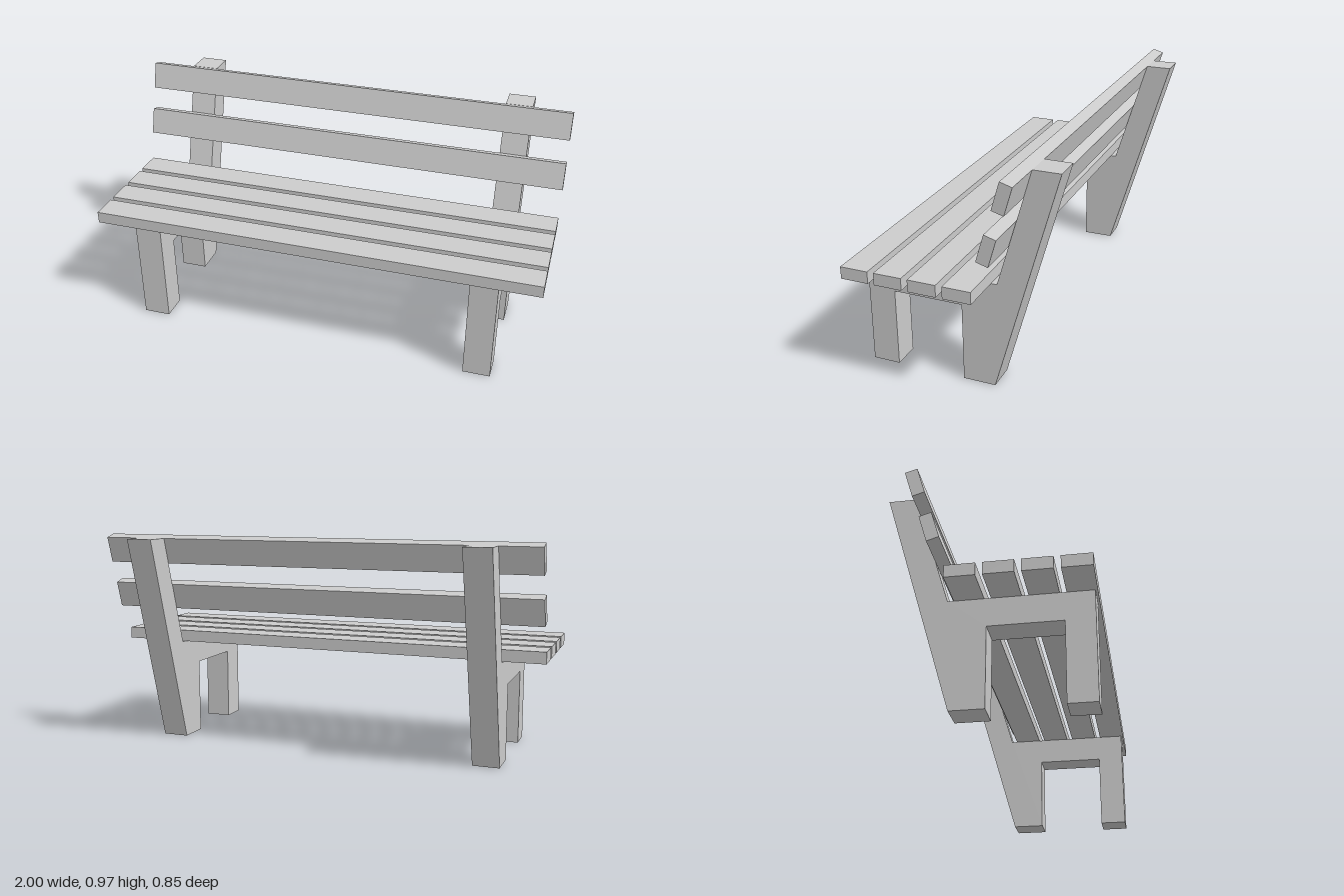
import * as THREE from 'three';

const material = new THREE.MeshStandardMaterial({ color: 0xcccccc, flatShading: true });
const LENGTH = 2, PLANK_WIDTH = 0.12, PLANK_THICK = 0.052;
const BACK_TILT = -Math.atan2(0.148, 0.497);

// Side profile of one support as (z, y): front leg, seat rail and raked back post
const SUPPORT_PROFILE = [
  [0.415, 0], [0.415, 0.463], [-0.16, 0.463], [-0.308, 0.96], [-0.423, 0.96],
  [-0.145, 0], [-0.005, 0], [-0.005, 0.342], [0.297, 0.342], [0.297, 0],
];

function createSupport(name, centreX) {
  const shape = new THREE.Shape(SUPPORT_PROFILE.map(([z, y]) => new THREE.Vector2(z, y)));
  const geometry = new THREE.ExtrudeGeometry(shape, { depth: 0.12, bevelEnabled: false });
  geometry.translate(0, 0, -0.06).rotateY(-Math.PI / 2);
  const mesh = new THREE.Mesh(geometry, material);
  mesh.name = name;
  mesh.position.x = centreX;
  return mesh;
}

function createPlank(name, height, depth, y, z, tilt = 0) {
  const mesh = new THREE.Mesh(new THREE.BoxGeometry(LENGTH, height, depth), material);
  mesh.name = name;
  mesh.position.set(0, y, z);
  mesh.rotation.x = tilt;
  return mesh;
}

export function createModel() {
  const bench = new THREE.Group();
  bench.name = 'bench';

  // Mirrored end supports
  bench.add(createSupport('leftSupport', 0.76), createSupport('rightSupport', -0.76));

  // Four flat seat slats, front to back
  for (let i = 0; i < 4; i++) {
    bench.add(createPlank(`seatSlat${i + 1}`, PLANK_THICK, PLANK_WIDTH, 0.489, 0.365 - i * 0.1467));
  }

  // Two backrest slats lying on the raked posts
  bench.add(
    createPlank('lowerBackSlat', PLANK_WIDTH, PLANK_THICK, 0.695, -0.2, BACK_TILT),
    createPlank('upperBackSlat', PLANK_WIDTH, PLANK_THICK, 0.909, -0.2655, BACK_TILT),
  );
  return bench;
}
